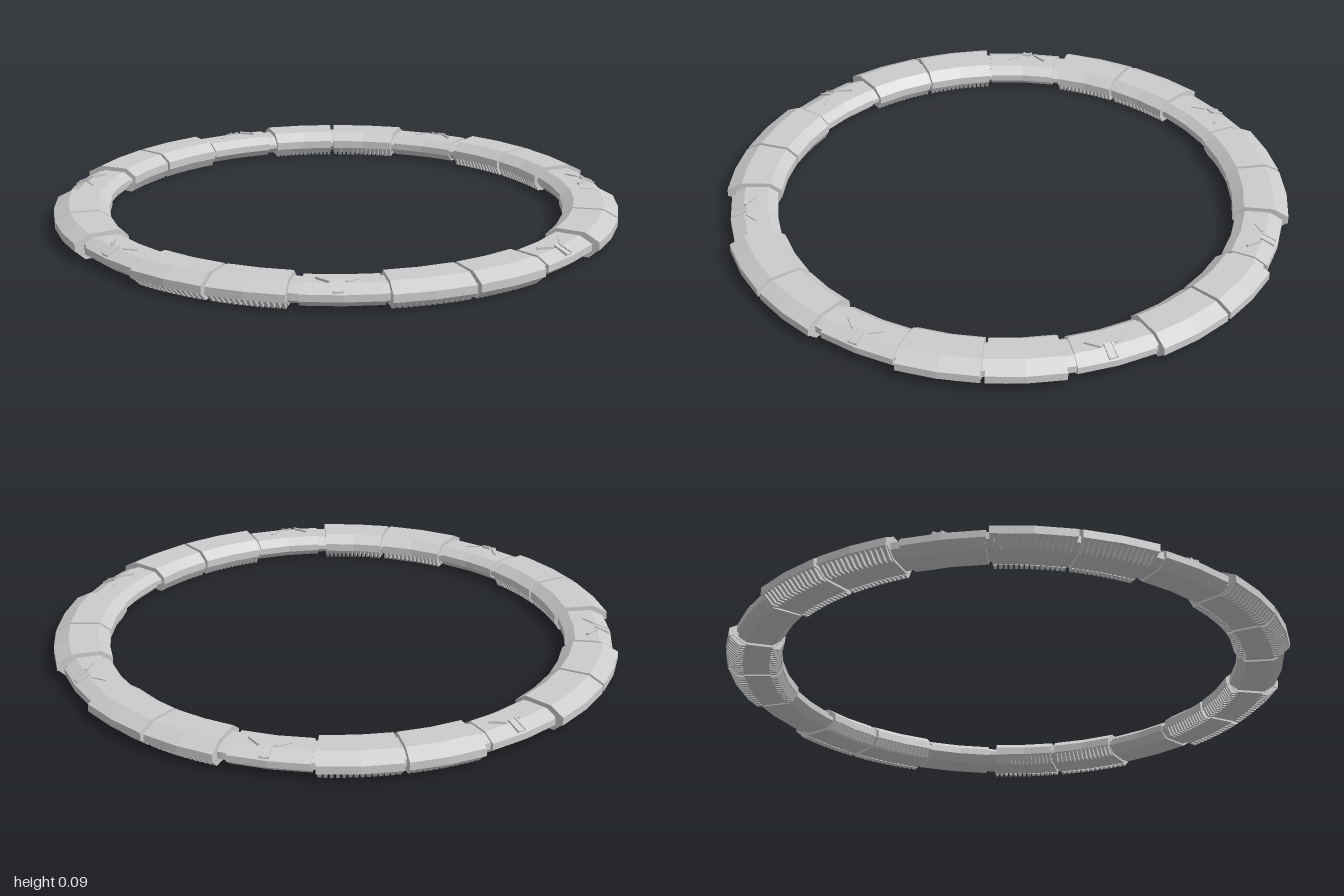
import * as THREE from 'three';

const material = new THREE.MeshStandardMaterial({ color: 0xcccccc, flatShading: true });
const RAD = Math.PI / 180;
const REPEATS = 7;

// Point on the ring: radius, height, angle in degrees clockwise from the back
const at = (r, y, deg) => [r * Math.sin(deg * RAD), y, -r * Math.cos(deg * RAD)];

// Convex [radius, y] profile (counter-clockwise) swept between two angles, capped
function sector(name, profile, a0, a1, steps = 1) {
  const pos = [];
  const tri = (a, b, c) => pos.push(...a, ...b, ...c);
  const count = profile.length;
  for (let s = 0; s < steps; s++) {
    const b0 = a0 + ((a1 - a0) * s) / steps;
    const b1 = a0 + ((a1 - a0) * (s + 1)) / steps;
    for (let i = 0; i < count; i++) {
      const p = profile[i], q = profile[(i + 1) % count];
      tri(at(...p, b0), at(...q, b0), at(...q, b1));
      tri(at(...p, b0), at(...q, b1), at(...p, b1));
    }
  }
  for (let i = 1; i < count - 1; i++) {
    tri(at(...profile[0], a1), at(...profile[i], a1), at(...profile[i + 1], a1));
    tri(at(...profile[0], a0), at(...profile[i + 1], a0), at(...profile[i], a0));
  }
  const geometry = new THREE.BufferGeometry();
  geometry.setAttribute('position', new THREE.Float32BufferAttribute(pos, 3));
  geometry.computeVertexNormals();
  const mesh = new THREE.Mesh(geometry, material);
  mesh.name = name;
  return mesh;
}

// Thin raised bar lying between two [radius, angle] points
function bar(name, from, to, y) {
  const a = new THREE.Vector3(...at(from[0], y, from[1]));
  const b = new THREE.Vector3(...at(to[0], y, to[1]));
  const mesh = new THREE.Mesh(new THREE.BoxGeometry(0.008, 0.014, a.distanceTo(b)), material);
  mesh.position.copy(a).add(b).multiplyScalar(0.5);
  mesh.lookAt(b);
  mesh.name = name;
  return mesh;
}

const coreProfile = [[0.85, 0.012], [0.94, 0.012], [0.97, 0.03], [0.97, 0.055],
  [0.935, 0.073], [0.855, 0.073], [0.82, 0.05], [0.82, 0.035]];
const plateProfile = [[0.845, 0.004], [0.945, 0.004], [0.985, 0.032], [1.003, 0.032],
  [1.003, 0.06], [0.95, 0.088], [0.845, 0.088], [0.807, 0.06], [0.807, 0.032], [0.822, 0.032]];
// The plate is split at the ledge so both halves stay convex
const plateTop = [plateProfile[9], ...plateProfile.slice(2, 9)];
const plateBase = [plateProfile[0], plateProfile[1], plateProfile[2], plateProfile[9]];
const outerRib = [[0.94, 0], [0.965, 0], [1, 0.032], [0.98, 0.032]];
const innerRib = [[0.825, 0], [0.85, 0], [0.83, 0.032], [0.807, 0.032]];
const linkProfile = [[0.845, 0.006], [0.945, 0.006], [0.982, 0.032], [0.982, 0.056],
  [0.935, 0.079], [0.85, 0.079], [0.817, 0.056], [0.817, 0.032]];
const railProfile = [[0.925, 0.07], [0.975, 0.05], [0.975, 0.068], [0.925, 0.089]];

// Large plate with ribbed vents under its outer and inner edges
function largePlate(name, a0, a1) {
  const group = new THREE.Group();
  group.name = name;
  group.add(sector('plateTop', plateTop, a0, a1, 2), sector('plateBase', plateBase, a0, a1, 2));
  const ribs = 14, pitch = (a1 - a0) / ribs;
  for (const [ribName, profile] of [['outerRib', outerRib], ['innerRib', innerRib]]) {
    for (let i = 0; i < ribs; i++) {
      const start = a0 + pitch * (i + 0.2);
      group.add(sector(ribName, profile, start, start + pitch * 0.6));
    }
  }
  return group;
}

// Lower link with a small forked fitting on top
function smallLink() {
  const group = new THREE.Group();
  group.name = 'smallLink';
  group.add(sector('linkBody', linkProfile, 25.3, 41.6, 2));
  group.add(sector('railBase', railProfile.map(([r, y]) => [r, y - 0.004]), 33.5, 35.1));
  for (const a of [33.3, 34.9]) group.add(sector('rail', railProfile, a, a + 0.4));
  group.add(bar('leftProng', [0.93, 36], [0.893, 38.8], 0.08));
  group.add(bar('rightProng', [0.925, 32.6], [0.893, 29.9], 0.076));
  return group;
}

export function createModel() {
  const model = new THREE.Group();
  model.name = 'segmentedRing';
  model.add(sector('core', coreProfile, 0, 360, 84));
  for (let i = 0; i < REPEATS; i++) {
    const unit = new THREE.Group();
    unit.name = 'ringUnit';
    unit.add(largePlate('firstPlate', -7.7, 7.5), largePlate('secondPlate', 8.3, 24.5), smallLink());
    unit.rotation.y = (-i * 2 * Math.PI) / REPEATS;
    model.add(unit);
  }
  return model;
}
